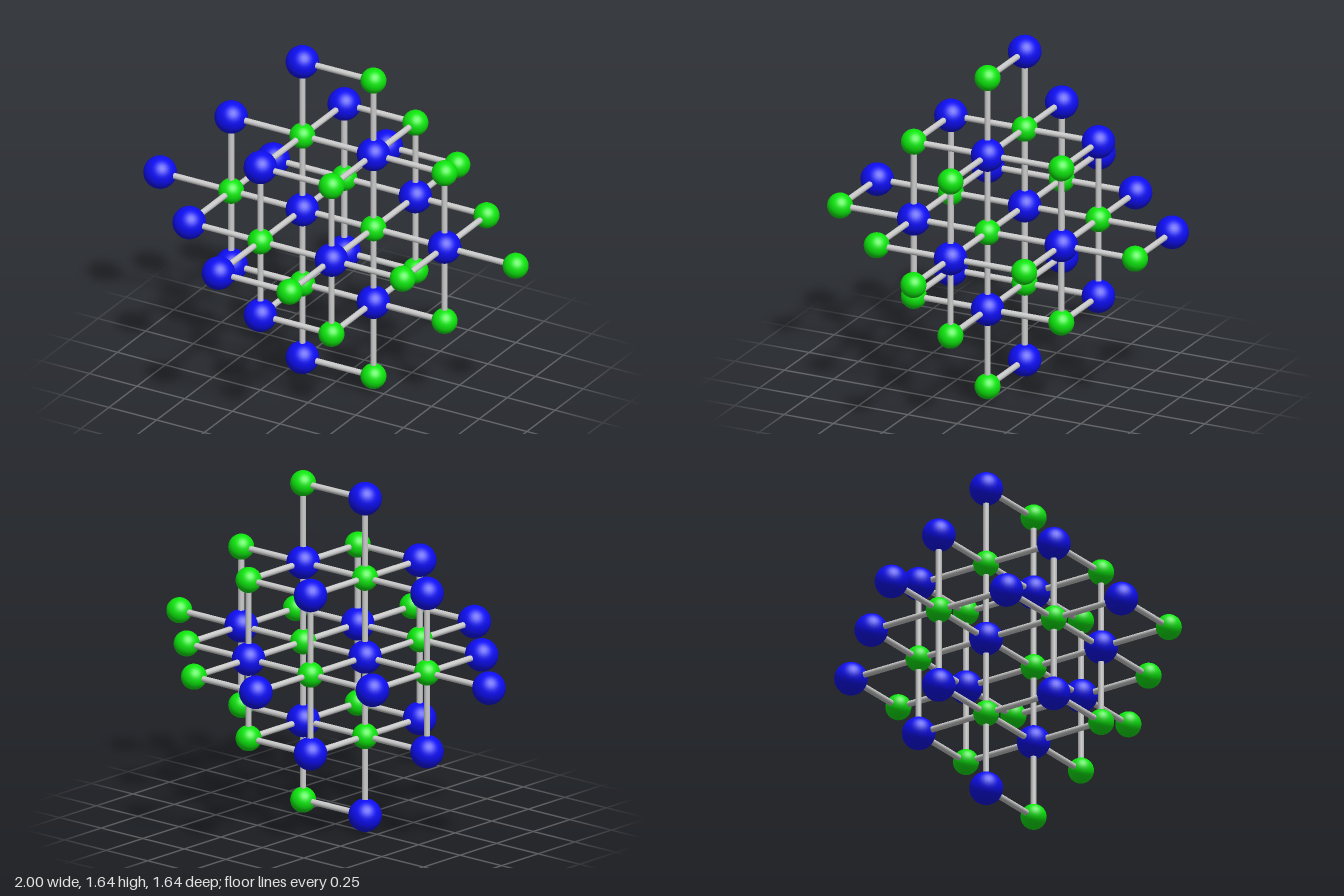
import * as THREE from 'three';

const STEP = 0.373;          // distance between neighbouring balls
const R_LARGE = 0.076, R_SMALL = 0.059, R_ROD = 0.014;

// The lattice is the union of two octahedra centred on neighbouring sites.
const inLattice = (i, j, k) =>
  Math.min(Math.abs(i), Math.abs(i - 1)) + Math.abs(j) + Math.abs(k) <= 2;

const sitePosition = (i, j, k) => new THREE.Vector3(
  -1 + R_LARGE + (i + 2) * STEP,
  R_LARGE + (j + 2) * STEP,
  k * STEP
);

export function createModel() {
  const model = new THREE.Group();
  model.name = 'crystalLattice';
  const balls = new THREE.Group();
  balls.name = 'balls';
  const rods = new THREE.Group();
  rods.name = 'rods';
  model.add(balls, rods);

  const blue = new THREE.MeshStandardMaterial({ color: 0x0d0df2 });
  const green = new THREE.MeshStandardMaterial({ color: 0x0de60d });
  const grey = new THREE.MeshStandardMaterial({ color: 0xcccccc });

  const largeBall = new THREE.SphereGeometry(R_LARGE, 32, 20);
  const smallBall = new THREE.SphereGeometry(R_SMALL, 32, 20);
  const rodGeometry = new THREE.CylinderGeometry(R_ROD, R_ROD, STEP, 16, 1, true);

  const up = new THREE.Vector3(0, 1, 0);
  const directions = [[1, 0, 0], [0, 1, 0], [0, 0, 1]];

  for (let i = -2; i <= 3; i++) for (let j = -2; j <= 2; j++) for (let k = -2; k <= 2; k++) {
    if (!inLattice(i, j, k)) continue;
    const here = sitePosition(i, j, k);

    // Large and small balls alternate in every direction
    const isLarge = (i + j + k) % 2 === 0;
    const ball = new THREE.Mesh(isLarge ? largeBall : smallBall, isLarge ? blue : green);
    ball.name = isLarge ? 'largeBall' : 'smallBall';
    ball.position.copy(here);
    balls.add(ball);

    // Rods to the next neighbour along each axis
    for (const [dx, dy, dz] of directions) {
      if (!inLattice(i + dx, j + dy, k + dz)) continue;
      const rod = new THREE.Mesh(rodGeometry, grey);
      rod.name = 'rod';
      const direction = new THREE.Vector3(dx, dy, dz);
      rod.quaternion.setFromUnitVectors(up, direction);
      rod.position.copy(here).addScaledVector(direction, STEP / 2);
      rods.add(rod);
    }
  }
  return model;
}
